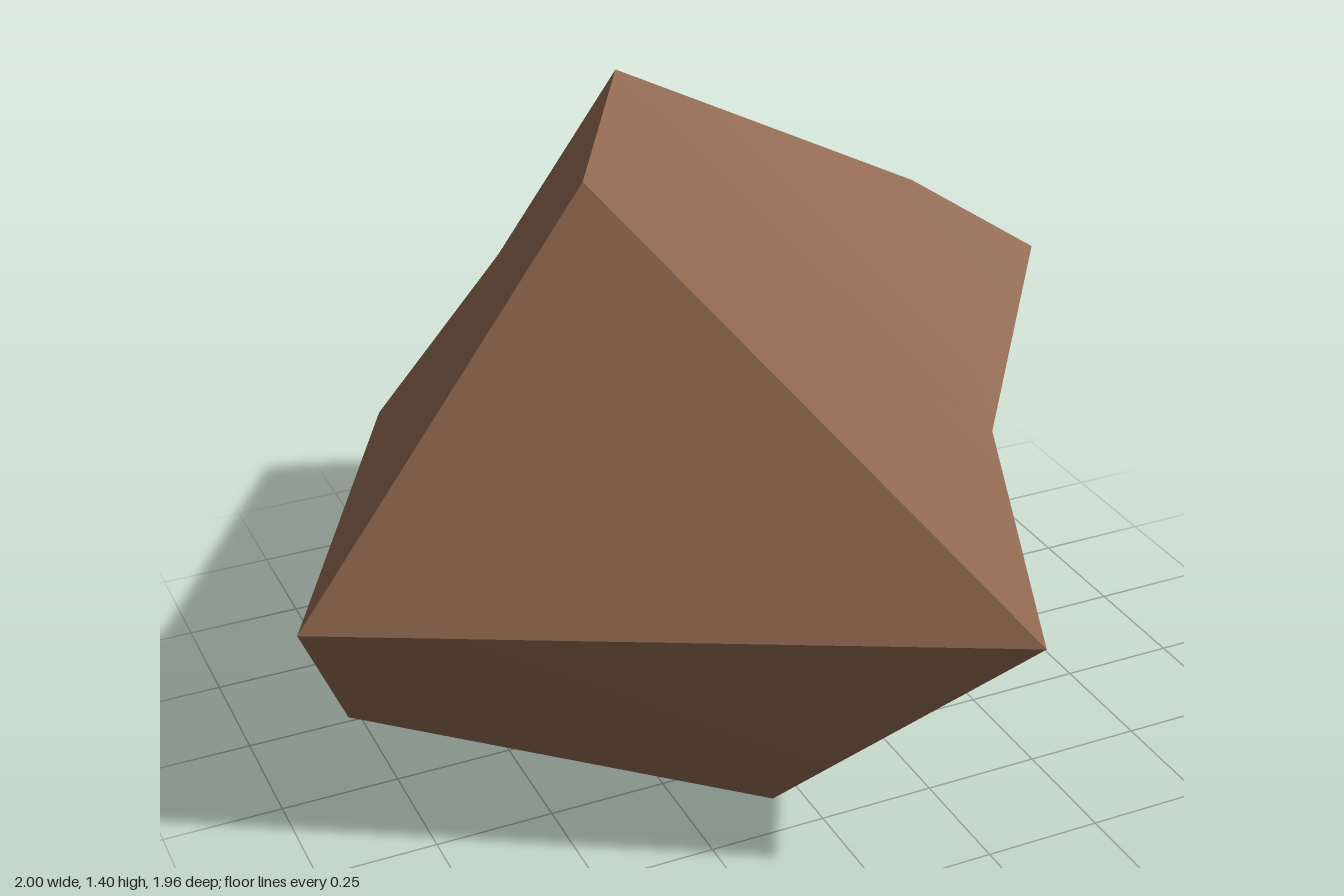
import * as THREE from 'three';
import { toCreasedNormals } from 'three/addons/utils/BufferGeometryUtils.js';

// Corners of the boulder
const corners = {
  A: [-1, 0.57, 0.26], B: [-0.41, 1.4, 0.29], C: [0.05, 1.24, -0.66],
  D: [0.61, 0.57, 0.09], E: [0.2, 0.635, 0.98], F: [0.76, 0.89, -0.57],
  G: [1, 0.74, -0.41], H: [0.95, 0.55, -0.5], I: [-0.13, 0.7, -0.98],
  J: [0, 0, -0.15], K: [-0.14, 0.125, 0.55], L: [-0.89, 0.3, 0.17],
  M: [-0.72, 0.14, -0.04], N: [-0.69, 0.11, -0.35], P: [0.65, 0.65, -0.65],
  Q: [0.01, 0.3, -0.72], S: [-0.49, 0.42, -0.84], T: [-0.66, 0.19, -0.67],
};

// Facets, counter-clockwise seen from outside, fanned from their first corner
const facets = [
  'BAED', 'DFCB', 'ABCIST',                    // front, top slope and right flank
  'FDG', 'GDJ', 'DEKJ', 'ALKE',                // left flank and lower front
  'KLM', 'JKM', 'JMN', 'MLN', 'NLAT',          // lower right
  'JNT', 'JTQ', 'QTS', 'QSI',                  // underside
  'QIP', 'QPH', 'QHJ', 'JHG', 'ICFP', 'FGHP',  // back and left point
];

export function createModel() {
  const stone = new THREE.MeshStandardMaterial({ color: 0x8f6850 });
  stone.name = 'brownStone';

  // Split each facet into a fan of triangles
  const positions = [];
  for (const f of facets) {
    for (let i = 1; i < f.length - 1; i++) {
      for (const c of [f[0], f[i], f[i + 1]]) positions.push(...corners[c]);
    }
  }
  const geometry = new THREE.BufferGeometry();
  geometry.setAttribute('position', new THREE.Float32BufferAttribute(positions, 3));

  const boulder = new THREE.Mesh(toCreasedNormals(geometry, 0.5), stone);
  boulder.name = 'boulder';
  const group = new THREE.Group();
  group.name = 'rock';
  group.add(boulder);
  return group;
}
